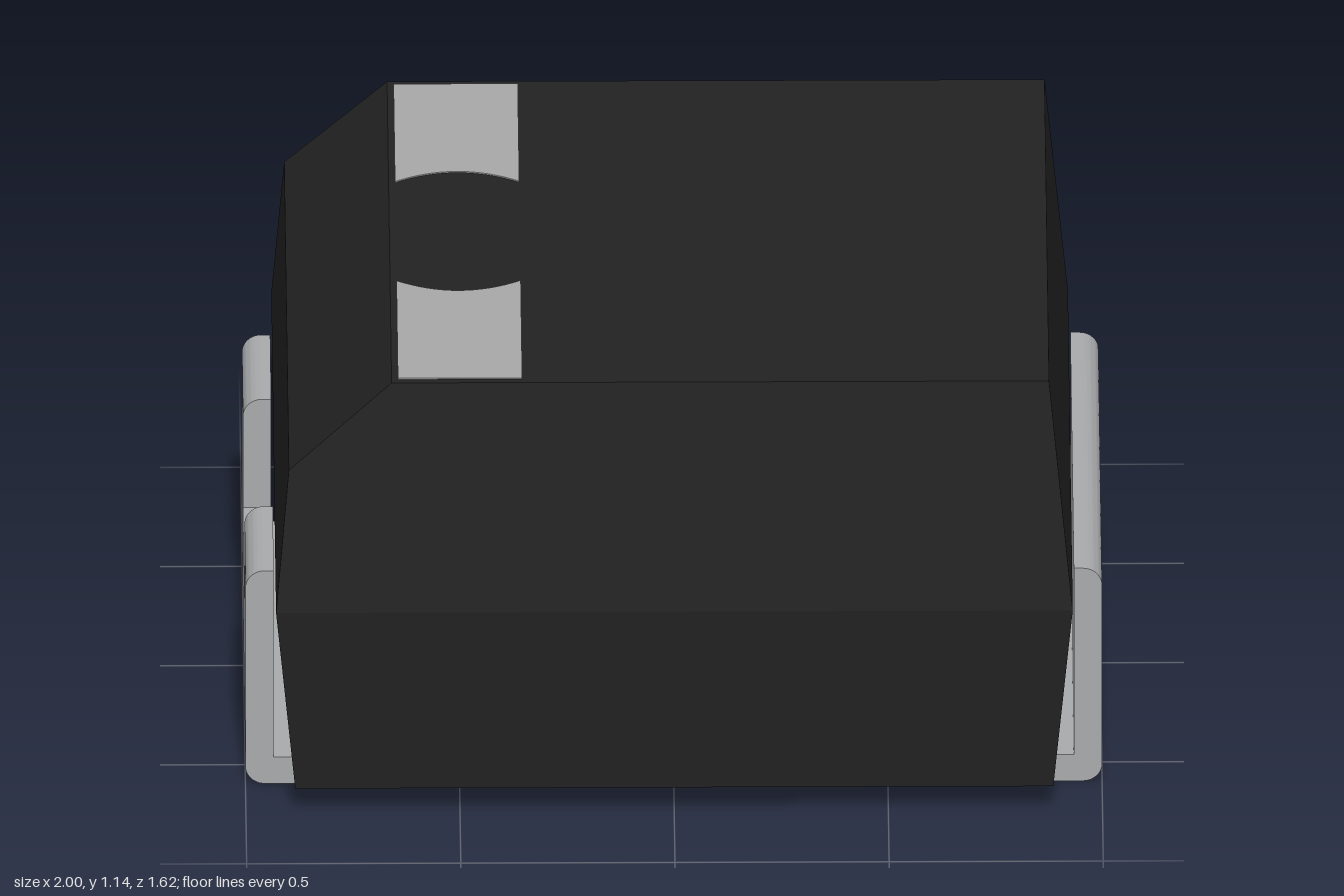
import * as THREE from 'three';
import { toCreasedNormals } from 'three/addons/utils/BufferGeometryUtils.js';
import { ConvexGeometry } from 'three/addons/geometries/ConvexGeometry.js';

const resin = new THREE.MeshStandardMaterial({ color: 0x222222 });
resin.name = 'black resin';
const metal = new THREE.MeshStandardMaterial({ color: 0xa9aaac });
metal.name = 'tinned metal';
const paint = new THREE.MeshStandardMaterial({ color: 0xa8a8a8 });
paint.name = 'grey marking';

const TOP = 1.14;

function add(parent, name, geometry, material) {
  const mesh = new THREE.Mesh(geometry, material);
  mesh.name = name;
  parent.add(mesh);
  return mesh;
}

// Moulded case: x, y, half depth of each profile corner
function bodyGeometry() {
  const profile = [
    [-0.885, 0.075, 0.765], [0.885, 0.075, 0.765],
    [-0.93, 0.56, 0.808], [0.93, 0.56, 0.808],
    [-0.9, 0.92, 0.778], [-0.66, TOP, 0.76], [0.875, TOP, 0.76],
  ];
  const points = [];
  for (const [x, y, z] of profile) {
    points.push(new THREE.Vector3(x, y, z), new THREE.Vector3(x, y, -z));
  }
  return new ConvexGeometry(points);
}

// Bent L strip running from z0 to z1, with a rounded heel and optionally a rounded top
function stripGeometry(height, z0, z1, roundTop) {
  const r = 0.045;
  const s = new THREE.Shape();
  s.moveTo(0.57, 0);
  s.lineTo(1 - r, 0);
  s.absarc(1 - r, r, r, -Math.PI / 2, 0, false);
  if (roundTop) {
    s.lineTo(1, height - r);
    s.absarc(1 - r, height - r, r, 0, Math.PI / 2, false);
  } else {
    s.lineTo(1, height);
  }
  s.lineTo(0.934, height);
  s.lineTo(0.934, 0.07);
  s.lineTo(0.57, 0.07);
  s.closePath();
  const g = new THREE.ExtrudeGeometry(s, { depth: z1 - z0, bevelEnabled: false, curveSegments: 8 });
  g.translate(0, 0, z0);
  return toCreasedNormals(g, 0.6);
}

// Painted band with a concave inner end
function stripeGeometry() {
  const s = new THREE.Shape();
  s.moveTo(-0.645, -0.742);
  s.lineTo(-0.355, -0.742);
  s.lineTo(-0.355, -0.25);
  s.quadraticCurveTo(-0.5, -0.35, -0.645, -0.25);
  s.closePath();
  const g = new THREE.ExtrudeGeometry(s, { depth: 0.004, bevelEnabled: false, curveSegments: 16 });
  g.rotateX(-Math.PI / 2);
  g.translate(0, TOP - 0.001, 0);
  return g;
}

export function createModel() {
  const model = new THREE.Group();
  model.name = 'chipCapacitor';

  add(model, 'body', bodyGeometry(), resin);
  add(model, 'bottomPad', new THREE.BoxGeometry(0.83, 0.07, 0.83), resin).position.y = 0.055;

  // Plain terminal
  add(model, 'plainTerminal', stripGeometry(0.56, -0.595, 0.595, true), metal);

  // Notched terminal on the other end
  const notched = new THREE.Group();
  notched.name = 'notchedTerminal';
  add(notched, 'terminalTabA', stripGeometry(0.56, -0.595, -0.27, true), metal);
  add(notched, 'terminalTabB', stripGeometry(0.56, 0.27, 0.595, true), metal);
  add(notched, 'terminalBridge', stripGeometry(0.275, -0.27, 0.27, false), metal);
  notched.rotation.y = Math.PI;
  model.add(notched);

  // Polarity marking: the same band, turned about its own centre line
  add(model, 'frontStripe', stripeGeometry(), paint);
  const back = add(model, 'backStripe', stripeGeometry(), paint);
  back.rotation.y = Math.PI;
  back.position.x = -1;

  return model;
}
